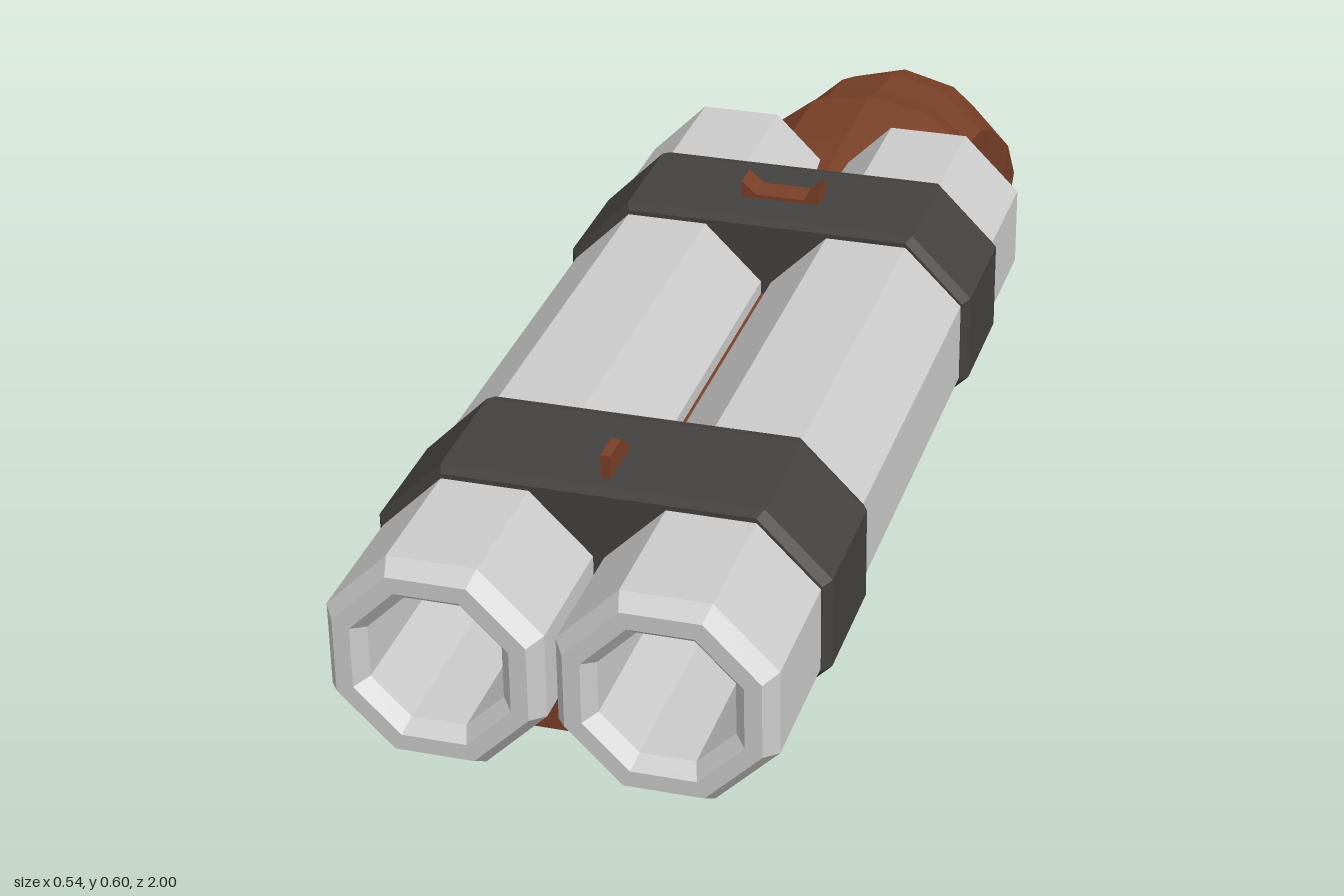
import * as THREE from 'three';

const mat = (color, extra = {}) => new THREE.MeshStandardMaterial({ color, flatShading: true, ...extra });
const steel = mat(0xcccccc), wood = mat(0x7a4028), iron = mat(0x444240);
const black = mat(0x1c1b1a), triggerSteel = mat(0x777777);

const BX = 0.1325, BY = 0.435; // barrel axis
const OCT = Math.cos(Math.PI / 8);

function add(group, name, geometry, material) {
  const m = new THREE.Mesh(geometry, material);
  m.name = name;
  group.add(m);
  return m;
}

const shapeOf = pts => new THREE.Shape(pts.map(p => new THREE.Vector2(...p)));

function extrude(shape, depth, z, steps = 1) {
  return new THREE.ExtrudeGeometry(shape, { depth, steps, bevelEnabled: false }).translate(0, 0, z);
}

// Hollow octagonal barrel; profile is [apothem, z]
function barrelGeometry() {
  const profile = [[0, -0.29], [0.08, -0.29], [0.126, -0.24], [0.126, 0.978], [0.112, 1],
    [0.092, 1], [0.078, 0.982], [0.078, -0.2], [0, -0.24]];
  return new THREE.LatheGeometry(profile.map(([a, z]) => new THREE.Vector2(a / OCT, z)), 8, Math.PI / 8)
    .rotateX(Math.PI / 2);
}

// Clamp around both barrels, with two octagonal holes and chamfered rims
function bandGeometry(z0, length) {
  const quarter = [[0.268, 0.057], [0.19, 0.136]];
  const [a, b] = quarter;
  const shape = shapeOf([a, b, [-b[0], b[1]], [-a[0], a[1]], [-a[0], -a[1]], [-b[0], -b[1]], [b[0], -b[1]], [a[0], -a[1]]]);
  for (const s of [-1, 1]) {
    const hole = new THREE.Path();
    for (let i = 0; i < 8; i++) {
      const t = Math.PI / 8 - i * Math.PI / 4, r = 0.122 / OCT;
      hole[i ? 'lineTo' : 'moveTo'](s * BX + r * Math.cos(t), r * Math.sin(t));
    }
    hole.closePath();
    shape.holes.push(hole);
  }
  const g = extrude(shape, 3, 0, 3), p = g.attributes.position;
  const layerZ = [0, 0.015, length - 0.015, length];
  for (let i = 0; i < p.count; i++) {
    const layer = Math.round(p.getZ(i));
    const outer = Math.abs(p.getX(i)) > 0.265 || Math.abs(p.getY(i)) > 0.13;
    const k = outer && (layer === 0 || layer === 3) ? 0.97 : 1;
    p.setXYZ(i, p.getX(i) * k, p.getY(i) * k, layerZ[layer]);
  }
  g.computeVertexNormals();
  return g.translate(0, BY, z0);
}

// Curved grip lofted through sections: [top z, top y, bottom z, bottom y, half width]
function gripGeometry() {
  const sections = [
    [-0.2, 0.5, -0.2, 0.25, 0.155],
    [-0.3, 0.51, -0.3, 0.245, 0.153],
    [-0.44, 0.512, -0.44, 0.238, 0.15],
    [-0.5, 0.495, -0.49, 0.232, 0.137],
    [-0.58, 0.487, -0.54, 0.205, 0.136],
    [-0.66, 0.46, -0.62, 0.15, 0.136],
    [-0.8, 0.37, -0.72, 0.08, 0.136],
    [-0.9, 0.27, -0.8, 0.02, 0.128],
    [-0.965, 0.195, -0.86, 0.004, 0.112],
    [-0.985, 0.14, -0.93, 0.025, 0.08],
    [-1.0, 0.055, -0.99, 0.047, 0.03],
  ];
  const half = [[0.55, 0.94], [1, 0.75], [0.94, 0.3], [0.6, 0]];
  const ring = [[0, 1], ...half, ...half.map(([x, t]) => [-x, t]).reverse()];
  const n = ring.length, pos = [], idx = [];
  for (const [tz, ty, bz, by, w] of sections) {
    for (const [x, t] of ring) pos.push(x * w, by + (ty - by) * t, bz + (tz - bz) * t);
  }
  for (let s = 0; s < sections.length - 1; s++) {
    for (let i = 0; i < n; i++) {
      const a = s * n + i, b = s * n + (i + 1) % n;
      idx.push(a, b, a + n, b, b + n, a + n);
    }
  }
  const last = (sections.length - 1) * n;
  for (let i = 1; i < n - 1; i++) {
    idx.push(0, i + 1, i, last, last + i, last + i + 1);
  }
  const g = new THREE.BufferGeometry();
  g.setAttribute('position', new THREE.Float32BufferAttribute(pos, 3));
  g.setIndex(idx);
  g.computeVertexNormals();
  return g;
}

export function createModel() {
  const model = new THREE.Group();
  model.name = 'doubleBarrelPistol';

  // Barrels
  for (const s of [-1, 1]) {
    add(model, s > 0 ? 'leftBarrel' : 'rightBarrel', barrelGeometry(), steel).position.set(s * BX, BY, 0);
  }

  // Clamping bands
  add(model, 'frontBand', bandGeometry(0.623, 0.185), iron);
  add(model, 'rearBand', bandGeometry(-0.073, 0.183), iron);

  // Wooden grip, fore-end and the rib between the barrels
  add(model, 'grip', gripGeometry(), wood);
  const foreEnd = shapeOf([[-0.112, 0.247], [0.112, 0.247], [0.18, 0.306], [0.08, 0.309], [0.01, 0.37],
    [-0.01, 0.37], [-0.08, 0.309], [-0.18, 0.306]]);
  add(model, 'foreEnd', extrude(foreEnd, 1.0, -0.29), wood);
  add(model, 'foreEndNose', extrude(shapeOf([[-0.112, 0.247], [0.112, 0.247], [0.18, 0.306], [-0.18, 0.306]]), 0.11, 0.704), wood);
  add(model, 'centreRib', new THREE.BoxGeometry(0.018, 0.12, 0.9).translate(0, 0.41, 0.25), wood);
  add(model, 'rearRib', extrude(shapeOf([[-0.012, 0.4], [0.012, 0.4], [0.012, 0.49], [0, 0.5], [-0.012, 0.49]]), 0.2, -0.28), wood);

  // Front blade sight, drawn in side profile
  const blade = extrude(shapeOf([[-0.775, 0.565], [-0.695, 0.565], [-0.72, 0.59], [-0.735, 0.6], [-0.775, 0.6]]), 0.012, -0.006);
  add(model, 'frontSight', blade.rotateY(Math.PI / 2), wood);

  // Notched rear sight
  const notch = shapeOf([[-0.052, 0.565], [0.052, 0.565], [0.052, 0.593], [0.032, 0.576],
    [-0.032, 0.576], [-0.052, 0.593]]);
  add(model, 'rearSight', extrude(notch, 0.038, 0.002), wood);

  // Slotted trigger plate
  const plate = shapeOf([[-0.043, 0.3], [0.043, 0.3], [0.043, 0.48], [-0.043, 0.48]]);
  plate.holes.push(new THREE.Path([[-0.024, 0.33], [-0.024, 0.46], [0.024, 0.46], [0.024, 0.33]]
    .map(p => new THREE.Vector2(...p))));
  const plateGeo = extrude(plate, 0.02, 0).rotateX(-Math.PI / 2).translate(0, 0.23, 0);
  add(model, 'triggerPlate', plateGeo, black);

  // Hooked trigger with a rounded tip
  const path = new THREE.CatmullRomCurve3([[0.25, -0.435], [0.205, -0.445], [0.17, -0.42], [0.153, -0.39], [0.16, -0.355]]
    .map(([y, z]) => new THREE.Vector3(0, y, z)));
  add(model, 'trigger', new THREE.TubeGeometry(path, 10, 0.014, 8), triggerSteel);
  add(model, 'triggerTip', new THREE.SphereGeometry(0.014, 8, 6).translate(0, 0.16, -0.355), triggerSteel);

  return model;
}
